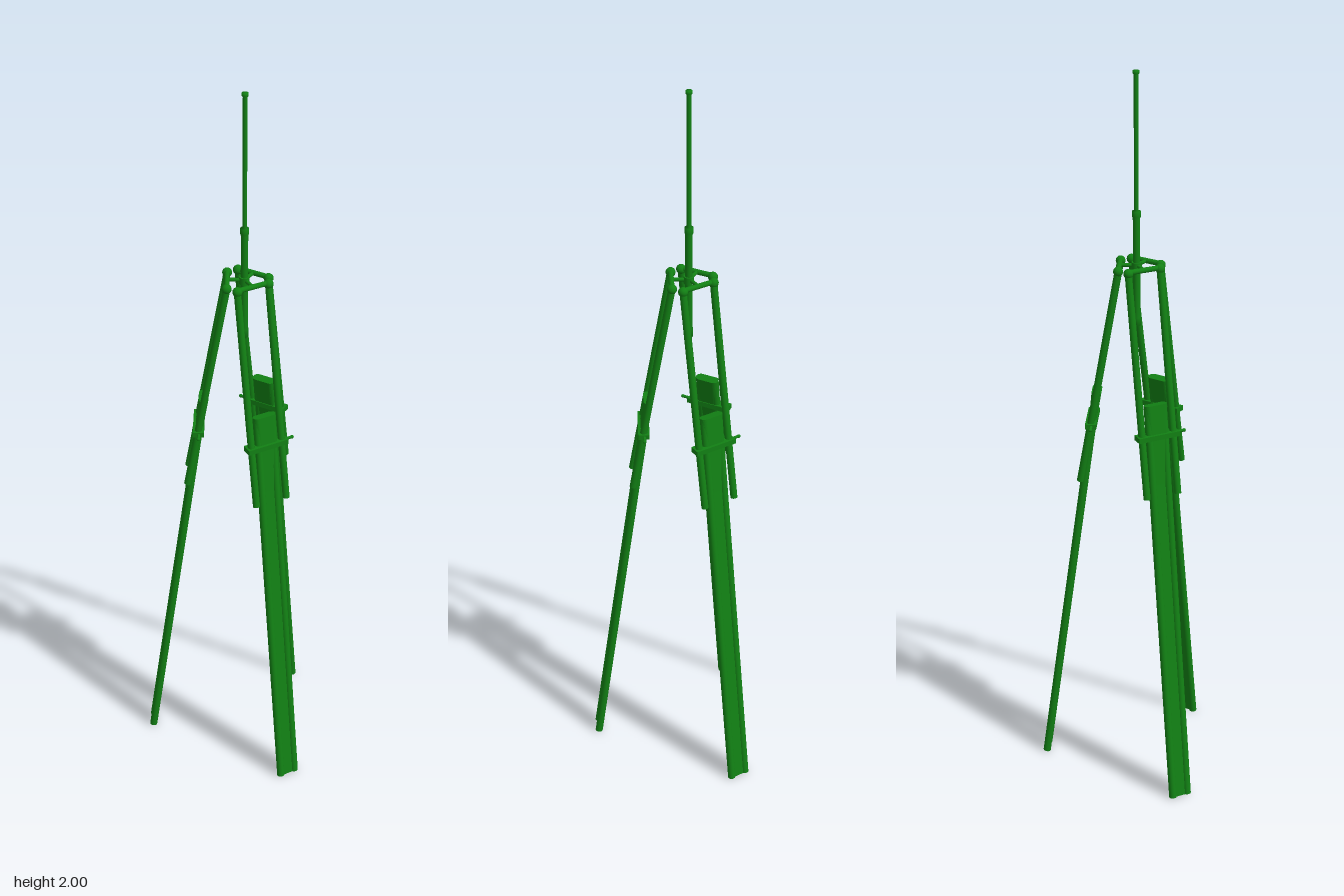
import * as THREE from 'three';

const green = new THREE.MeshStandardMaterial({ color: 0x128014 });
const V = (x, y, z) => new THREE.Vector3(x, y, z);

function add(parent, name, geometry, x = 0, y = 0, z = 0) {
  const mesh = new THREE.Mesh(geometry, green);
  mesh.name = name;
  mesh.position.set(x, y, z);
  parent.add(mesh);
  return mesh;
}

// Round rod between two points
function rod(parent, name, a, b, r, r2 = r) {
  const dir = b.clone().sub(a);
  const mesh = add(parent, name, new THREE.CylinderGeometry(r2, r, dir.length(), 16));
  mesh.position.copy(a).add(b).multiplyScalar(0.5);
  mesh.quaternion.setFromUnitVectors(V(0, 1, 0), dir.normalize());
  return mesh;
}

// Rounded slot outline, long in y
function stadium(width, thick) {
  const r = thick / 2, h = width / 2 - r;
  const s = new THREE.Shape();
  s.absarc(0, h, r, 0, Math.PI);
  s.absarc(0, -h, r, Math.PI, Math.PI * 2);
  s.closePath();
  return s;
}

// One leg, reaching out along local +x from the mast axis
function createLeg() {
  const leg = new THREE.Group();
  leg.name = 'leg';

  // Upper pair of tubes with ball caps
  for (const s of [-1, 1]) {
    const z = s * 0.046;
    rod(leg, 'upperTube', V(0.152, 0.885, z), V(0.045, 1.485, z), 0.0095);
    add(leg, 'tubeCap', new THREE.SphereGeometry(0.013, 16, 12), 0.045, 1.485, z);
  }
  rod(leg, 'crossbar', V(0.045, 1.488, -0.046), V(0.045, 1.488, 0.046), 0.007);
  rod(leg, 'hubSpoke', V(0.005, 1.488, 0), V(0.045, 1.488, 0), 0.005);

  // Lower leg: two tubes joined by a thin web
  const foot = V(0.265, 0.002, 0), top = V(0.108, 1.132, 0);
  for (const s of [-1, 1]) {
    const off = V(0, 0, s * 0.0225);
    rod(leg, 'lowerTube', foot.clone().add(off), top.clone().add(off), 0.0105);
  }
  const length = foot.distanceTo(top);
  const web = add(leg, 'lowerWeb', new THREE.BoxGeometry(0.01, length, 0.045));
  web.position.copy(foot).add(top).multiplyScalar(0.5);
  web.rotation.z = Math.atan2(foot.x - top.x, top.y - foot.y);

  // Rounded head that thins out down into the web
  const headLength = 0.27;
  const head = new THREE.ExtrudeGeometry(stadium(0.066, 0.026),
    { depth: headLength, bevelEnabled: false, curveSegments: 10 });
  const p = head.attributes.position;
  for (let i = 0; i < p.count; i++) {
    const k = p.getZ(i) / headLength;
    p.setX(i, p.getX(i) * (0.25 + 0.75 * k));
    p.setY(i, p.getY(i) * (0.65 + 0.35 * k));
  }
  head.rotateX(-Math.PI / 2);
  head.computeVertexNormals();
  const headMesh = add(leg, 'lowerHead', head);
  headMesh.position.copy(top).lerp(foot, (headLength - 0.003) / length);
  headMesh.rotation.z = web.rotation.z;

  // Clamp plate with its locking bolt
  const plate = new THREE.Shape();
  plate.moveTo(-0.016, -0.06);
  plate.lineTo(0.014, -0.06);
  plate.lineTo(0.014, 0.06);
  plate.lineTo(-0.016, 0.06);
  const clamp = new THREE.ExtrudeGeometry(plate, { depth: 0.014, bevelEnabled: false });
  clamp.rotateX(-Math.PI / 2);
  add(leg, 'clampPlate', clamp, 0.122, 1.043, 0);
  rod(leg, 'clampBolt', V(0.12, 1.05, -0.055), V(0.12, 1.05, -0.082), 0.004);
  add(leg, 'boltEnd', new THREE.SphereGeometry(0.005, 12, 8), 0.12, 1.05, -0.08);
  return leg;
}

export function createModel() {
  const model = new THREE.Group();
  model.name = 'tripodStand';
  const stand = new THREE.Group();
  stand.name = 'stand';
  stand.position.set(0.037, 0, -0.02);
  model.add(stand);

  // Telescoping mast
  const profile = [
    [0, 1.322], [0.011, 1.322], [0.011, 1.345], [0.0095, 1.35], [0.0095, 1.615],
    [0.0115, 1.62], [0.0115, 1.635], [0.006, 1.637], [0.006, 1.99], [0.0085, 1.992],
    [0.0085, 2], [0, 2],
  ].map(([r, y]) => new THREE.Vector2(r, y));
  const lathe = new THREE.LatheGeometry(profile, 20);
  add(stand, 'mast', lathe);
  add(stand, 'hub', new THREE.CylinderGeometry(0.0135, 0.0135, 0.02, 20), 0, 1.487, 0);

  // Three legs around the mast
  for (let i = 0; i < 3; i++) {
    const leg = createLeg();
    leg.rotation.y = -THREE.MathUtils.degToRad(69.8 + i * 120);
    stand.add(leg);
  }
  return model;
}
